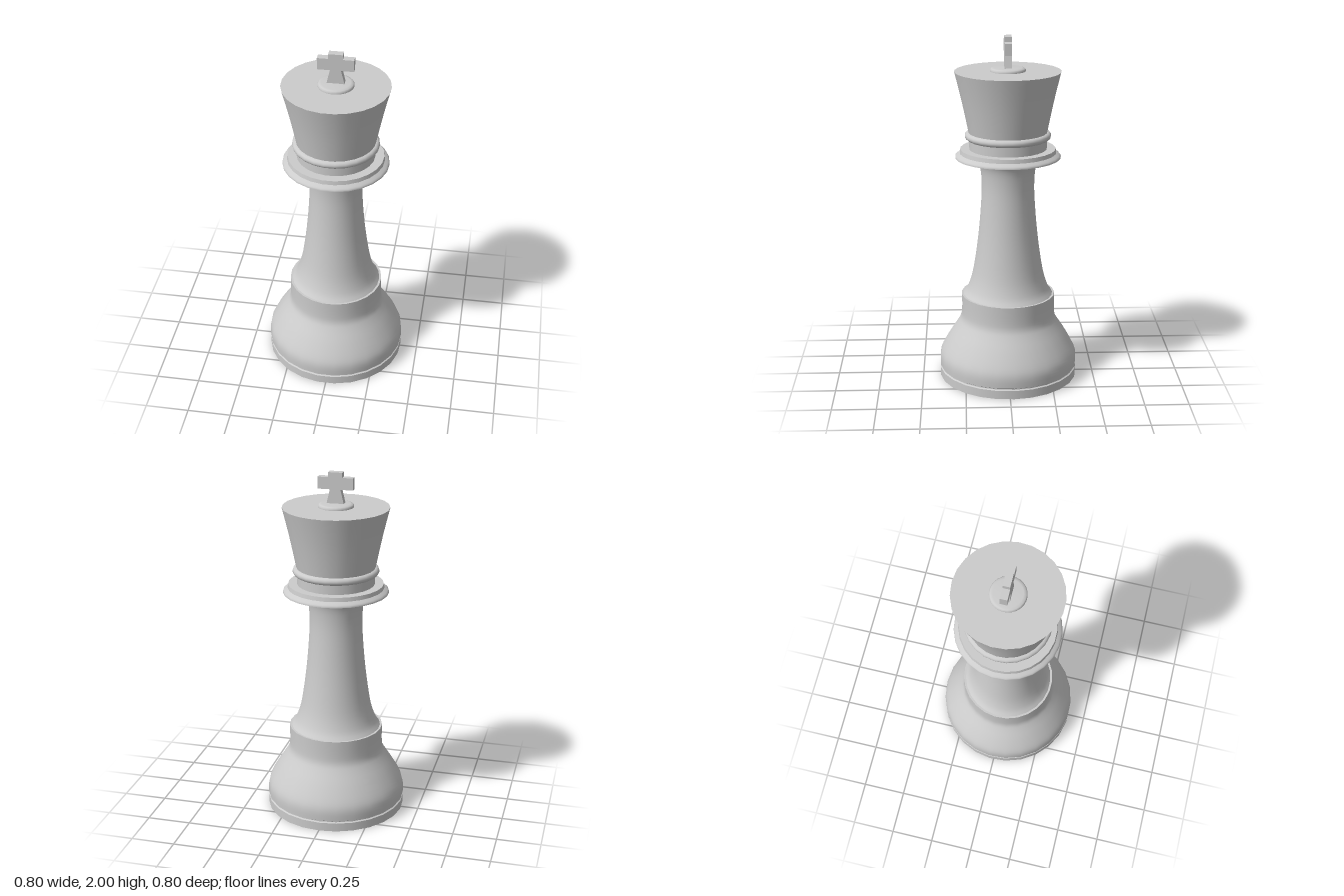
import * as THREE from 'three';

const material = new THREE.MeshStandardMaterial({ color: 0xcccccc });
const SIDES = 25;

// Turned part: each run of [radius, height] points is smooth, with a sharp edge between runs
function turned(name, ...runs) {
  const group = new THREE.Group();
  group.name = name;
  for (const run of runs) {
    const points = run.map(([r, y]) => new THREE.Vector2(r, y));
    group.add(new THREE.Mesh(new THREE.LatheGeometry(points, SIDES, Math.PI), material));
  }
  return group;
}

// Smooth run through a few control points
function curve(points, steps) {
  const spline = new THREE.SplineCurve(points.map(([r, y]) => new THREE.Vector2(r, y)));
  return spline.getPoints(steps).map(p => [p.x, p.y]);
}

export function createModel() {
  const model = new THREE.Group();
  model.name = 'chessKing';

  // Foot disc with a narrow groove above it
  model.add(turned('foot',
    [[0, 0], [0.4, 0]],
    [[0.4, 0], [0.4, 0.05]],
    [[0.4, 0.05], [0.392, 0.055]],
    [[0.392, 0.055], [0.392, 0.06]],
    [[0.392, 0.06], [0.4, 0.065]]));

  // Flared base rising to an upright band
  model.add(turned('base',
    curve([[0.4, 0.065], [0.4, 0.12], [0.385, 0.17], [0.34, 0.25], [0.295, 0.32], [0.275, 0.36], [0.27, 0.41], [0.27, 0.5]], 24),
    [[0.27, 0.5], [0.255, 0.5]]));

  // Concave stem spreading out under the collar
  model.add(turned('stem',
    curve([[0.258, 0.5], [0.23, 0.545], [0.2, 0.65], [0.17, 0.86], [0.152, 1.08], [0.152, 1.2],
      [0.163, 1.27], [0.185, 1.3], [0.23, 1.315]], 32)));

  // Collar with a bevelled rim
  model.add(turned('collar',
    [[0.2, 1.315], [0.3, 1.315]],
    curve([[0.3, 1.315], [0.298, 1.325], [0.285, 1.335], [0.274, 1.342]], 6),
    [[0.274, 1.342], [0.27, 1.365]],
    [[0.27, 1.365], [0.21, 1.365]]));

  // Neck and its rounded ring
  model.add(turned('neck', [[0.22, 1.365], [0.22, 1.47]]));
  const ring = [];
  for (let i = 0; i <= 8; i++) {
    const a = -Math.PI / 2 + Math.PI * i / 8;
    ring.push([0.222 + 0.022 * Math.cos(a), 1.44 + 0.021 * Math.sin(a)]);
  }
  model.add(turned('neckRing', ring));

  // Flaring head with a flat top
  model.add(turned('head',
    curve([[0.222, 1.455], [0.239, 1.54], [0.259, 1.635], [0.28, 1.725], [0.3, 1.805]], 10),
    [[0.3, 1.805], [0, 1.805]]));

  // Low domed button
  model.add(turned('button',
    [[0.1, 1.805], [0.1, 1.814], [0.094, 1.821], [0.08, 1.825], [0, 1.828]]));

  // Cross with a tapered foot
  const half = [[0.05, 1.82], [0.03, 1.905], [0.1, 1.905], [0.1, 1.972], [0.04, 1.972], [0.04, 2]];
  const outline = [...half, ...half.map(([x, y]) => [-x, y]).reverse()];
  const shape = new THREE.Shape(outline.map(([x, y]) => new THREE.Vector2(x, y)));
  const crossGeometry = new THREE.ExtrudeGeometry(shape, { depth: 0.04, bevelEnabled: false });
  crossGeometry.translate(0, 0, -0.02);
  const cross = new THREE.Mesh(crossGeometry, material);
  cross.name = 'cross';
  model.add(cross);

  return model;
}
